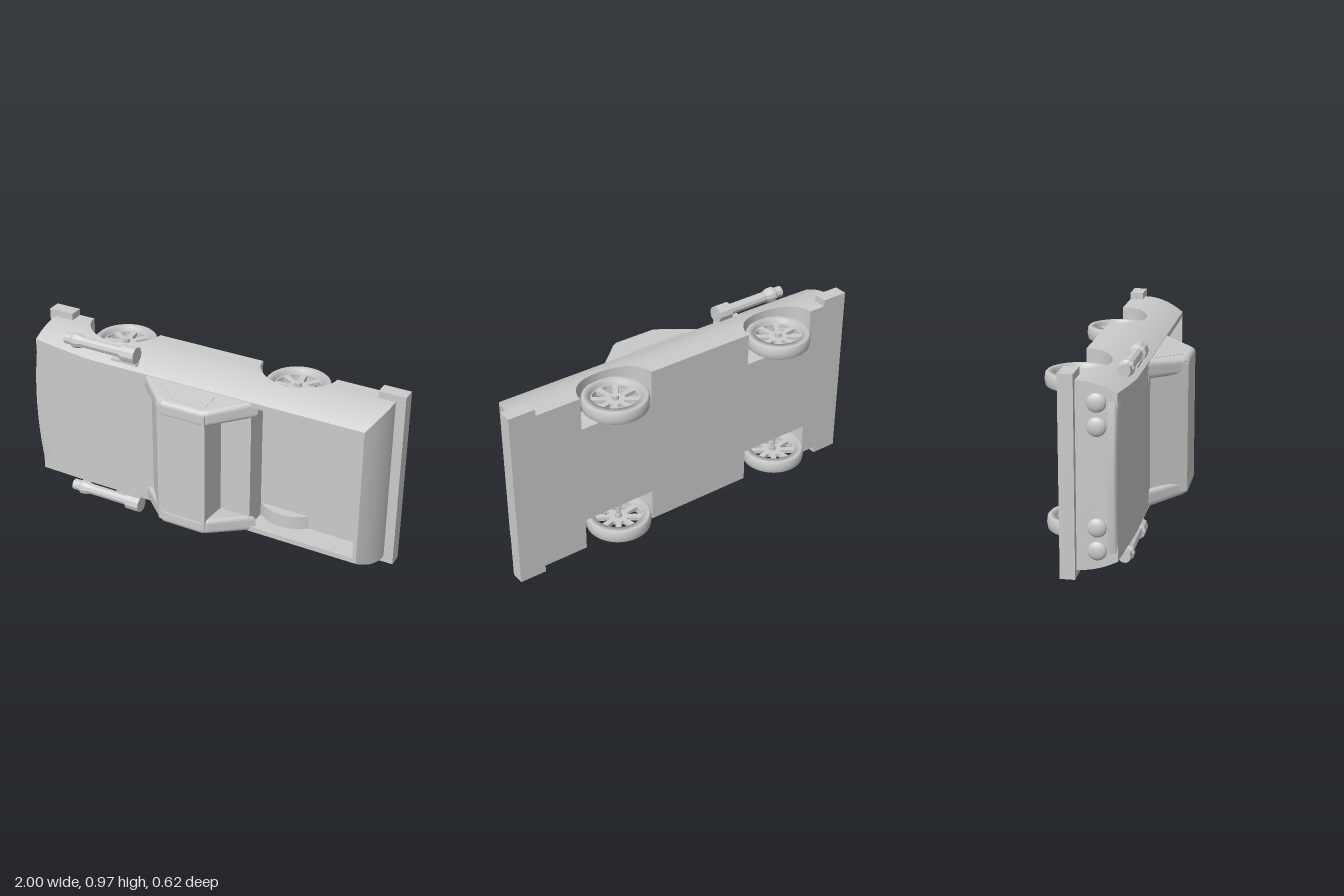
import * as THREE from 'three';

const MAT = new THREE.MeshStandardMaterial({ color: 0xcccccc, side: THREE.DoubleSide });
const FLAT = new THREE.MeshStandardMaterial({ color: 0xcccccc, side: THREE.DoubleSide, flatShading: true });

// The truck lies on its side: length on x (nose at -x), width on y, its roof towards +z.
const BASE = -0.155, SILL = -0.085, TOP = 0.135, WIDE = 0.4425, NOSE = -0.965;
const WHEELS = [-0.57, 0.42], ARCH_X = 0.2, ARCH_Z = 0.16, WELL = 0.27;

const rise = z => Math.max(0, (z - SILL) / (TOP - SILL));
const sideY = z => WIDE - 0.07 * rise(z) ** 2;
const tailX = z => 0.95 - 0.06 * rise(z) ** 2;
const topZ = x => TOP - 0.03 * Math.max(0, (-0.6 - x) / 0.365) ** 1.3;

// Grid surface: f(u, v) returns a point for u, v in 0..1
function surface(nu, nv, f) {
  const pos = [], idx = [];
  for (let i = 0; i <= nu; i++) for (let j = 0; j <= nv; j++) pos.push(...f(i / nu, j / nv, i));
  for (let i = 0; i < nu; i++) for (let j = 0; j < nv; j++) {
    const a = i * (nv + 1) + j, b = a + nv + 1;
    idx.push(a, b, a + 1, b, b + 1, a + 1);
  }
  const g = new THREE.BufferGeometry();
  g.setAttribute('position', new THREE.Float32BufferAttribute(pos, 3));
  g.setIndex(idx);
  g.computeVertexNormals();
  return g;
}

const poly = pts => new THREE.Shape(pts.map(p => new THREE.Vector2(...p)));
const rect = (x0, x1, y) => poly([[x0, -y], [x1, -y], [x1, y], [x0, y]]);

// Extrudes an x-z outline across the width, centred on y
function across(shape, width, y, bevel = 0) {
  const g = new THREE.ExtrudeGeometry(shape, {
    depth: width - 2 * bevel, bevelEnabled: bevel > 0, bevelSize: bevel, bevelOffset: -bevel,
    bevelThickness: bevel, bevelSegments: 5, curveSegments: 32,
  });
  return g.rotateX(Math.PI / 2).translate(0, y + width / 2 - bevel, 0);
}

function add(parent, name, geometry, material = MAT) {
  const m = new THREE.Mesh(geometry, material);
  m.name = name;
  parent.add(m);
  return m;
}

const box = (x0, x1, y0, y1, z0, z1) => new THREE.BoxGeometry(x1 - x0, y1 - y0, z1 - z0)
  .translate((x0 + x1) / 2, (y0 + y1) / 2, (z0 + z1) / 2);

// Wheel on the y axis: lathed tyre, spoked disc and hub
function makeWheel() {
  const wheel = new THREE.Group();
  const tyre = [[0.122, -0.035], [0.155, -0.035], [0.162, -0.028], [0.166, 0], [0.162, 0.028],
    [0.155, 0.035], [0.122, 0.035], [0.122, -0.035]].map(p => new THREE.Vector2(...p));
  add(wheel, 'tyre', new THREE.LatheGeometry(tyre, 40));
  const disc = new THREE.Shape().absarc(0, 0, 0.124, 0, Math.PI * 2);
  for (let i = 0; i < 8; i++) {
    const a = i * Math.PI / 4 + 0.2;
    const at = (r, d) => [r * Math.cos(a + d), r * Math.sin(a + d)];
    disc.holes.push(poly([at(0.05, -0.14), at(0.115, -0.25), at(0.118, 0), at(0.115, 0.25), at(0.05, 0.14)]));
  }
  add(wheel, 'spokes', across(disc, 0.02, 0));
  add(wheel, 'hub', new THREE.CylinderGeometry(0.018, 0.018, 0.06, 12));
  return wheel;
}

// Lower body: sides with wheel arches, nose, tail, underside, wells
function makeBody(truck) {
  const stations = [[NOSE, BASE]];
  for (const cx of WHEELS) for (let i = 0; i <= 20; i++) {
    const a = Math.PI * i / 20;
    stations.push([cx - ARCH_X * Math.cos(a), BASE + ARCH_Z * Math.sin(a)]);
  }
  stations.push([0.86, BASE], [0.95, BASE]);
  const last = stations.length - 1;
  for (const s of [-1, 1]) {
    add(truck, 'bodySide', surface(last, 14, (u, v, i) => {
      const [x, low] = stations[i];
      const z = low + (topZ(x) - low) * v;
      return [i === last ? tailX(z) : x, s * sideY(z), z];
    }));
    for (const cx of WHEELS) {
      add(truck, 'wheelWell', surface(20, 1, (u, v) => {
        const a = Math.PI * u, z = BASE + ARCH_Z * Math.sin(a);
        return [cx - ARCH_X * Math.cos(a), s * (v ? WELL : sideY(z)), z];
      }));
      const wall = new THREE.Shape().absellipse(cx, BASE, ARCH_X, ARCH_Z, 0, Math.PI);
      add(truck, 'wellInnerWall', across(wall, 0.004, s * (WELL - 0.002)));
    }
  }
  const cap = (name, z1, fx) => add(truck, name, surface(14, 1, (u, v) => {
    const z = BASE + (z1 - BASE) * u;
    return [fx(z), (v * 2 - 1) * sideY(z), z];
  }));
  cap('nosePanel', topZ(NOSE), () => NOSE);
  cap('tailPanel', TOP, tailX);

  const edge = [[NOSE, WIDE]];
  for (const cx of WHEELS) {
    edge.push([cx - ARCH_X, WIDE], [cx - ARCH_X, WELL], [cx + ARCH_X, WELL], [cx + ARCH_X, WIDE]);
  }
  edge.push([0.95, WIDE]);
  const under = poly([...edge, ...edge.map(([x, y]) => [x, -y]).reverse()]);
  add(truck, 'underside', new THREE.ShapeGeometry(under).translate(0, 0, BASE));

  add(truck, 'fenderTop', surface(16, 1, (u, v) => {
    const x = NOSE + (-0.3 - NOSE) * u, z = topZ(x);
    return [x, (v * 2 - 1) * sideY(z), z - 0.001];
  }));
}

// Load bed: rim with a deep opening, floor and wheel housings
function makeBed(truck) {
  const rim = rect(-0.3, 0.89, sideY(TOP));
  rim.holes.push(rect(0.305, 0.87, 0.345));
  add(truck, 'bedRim', new THREE.ExtrudeGeometry(rim, { depth: 0.127, bevelEnabled: false }).translate(0, 0, 0.008));
  add(truck, 'bedFloor', box(0.3, 0.88, -0.35, 0.35, 0.004, 0.009));
  const a = 0.82;
  const housing = new THREE.Shape().absarc(0.44, -0.14, 0.2, Math.PI / 2 - a, Math.PI / 2 + a);
  for (const s of [-1, 1]) add(truck, 'wheelHousing', across(housing, 0.075, s * 0.31));
}

// Hood: swept across the width with a bowed, drooping front lip
function makeHood(truck) {
  add(truck, 'hood', surface(20, 12, (u, v, i) => {
    const y = (u * 2 - 1) * 0.352, front = -0.997 + 0.028 * (u * 2 - 1) ** 2;
    const t = Math.min(1, v * 12 / 9), x = -0.32 + (front + 0.012 + 0.32) * t;
    const k = Math.round(v * 12) - 9;
    const lip = [[front, 0.09], [front + 0.004, 0.065], [NOSE, 0.06]];
    return k > 0 ? [lip[k - 1][0], y, lip[k - 1][1]] : [x, y, topZ(Math.max(x, NOSE)) + 0.003];
  }));
  for (const y of [-0.345, -0.235, 0.235, 0.345]) {
    add(truck, 'headlight', new THREE.SphereGeometry(0.045, 20, 12).scale(0.45, 1, 1).translate(NOSE, y, 0.01));
  }
}

// Cabin: roof block with sloped windshield, flanked by pillars and rear buttresses
function makeCabin(truck) {
  add(truck, 'roofAndGlass', across(poly([[-0.265, 0.12], [-0.125, 0.304], [0.14, 0.304], [0.14, 0.12]]), 0.66, 0));
  const side = poly([[-0.312, 0.115], [-0.135, 0.285], [-0.1, 0.306], [0.125, 0.306], [0.15, 0.29], [0.33, 0.115]]);
  const glass = poly([[-0.2, 0.15], [-0.05, 0.268], [0.12, 0.268], [0.12, 0.15]]);
  for (const s of [-1, 1]) {
    const g = across(side, 0.085, s * 0.327, 0.024);
    const p = g.attributes.position;
    // Lean the sides inward towards the roof
    for (let i = 0; i < p.count; i++) p.setY(i, p.getY(i) - s * 0.1 * (p.getZ(i) - 0.135));
    g.computeVertexNormals();
    add(truck, 'pillar', g);
    const w = add(truck, 'sideWindow', across(glass, 0.006, 0));
    w.position.set(0, s * 0.382, 0);
    w.geometry.translate(0, 0, -0.135);
    w.position.z = 0.135;
    w.rotation.x = s * 0.1;
    w.position.y = s * 0.368;
  }
}

export function createModel() {
  const truck = new THREE.Group();
  truck.name = 'pickupTruck';
  makeBody(truck);
  makeBed(truck);
  makeHood(truck);
  makeCabin(truck);

  // Bumpers
  add(truck, 'frontBumper', box(-1, -0.86, -0.4775, 0.4775, BASE - 0.001, SILL));
  add(truck, 'rearBumper', box(0.86, 1, -0.4775, 0.4775, BASE - 0.001, SILL));

  // Wheels and stub axles
  for (const s of [-1, 1]) for (const x of WHEELS) {
    const wheel = makeWheel();
    wheel.name = 'wheel';
    wheel.position.set(x, s * 0.352, -0.143);
    truck.add(wheel);
    add(truck, 'axle', new THREE.CylinderGeometry(0.012, 0.012, 0.09, 10).translate(x, s * 0.31, -0.143));
  }

  // Side tubes with stepped ends
  const tube = [[0, -0.775], [0.03, -0.775], [0.03, -0.735], [0.04, -0.725], [0.04, -0.705], [0.029, -0.67],
    [0.029, -0.44], [0.044, -0.435], [0.044, -0.355], [0, -0.355]].map(p => new THREE.Vector2(...p));
  for (const s of [-1, 1]) {
    add(truck, 'sideTube', new THREE.LatheGeometry(tube, 10).rotateZ(-Math.PI / 2).translate(0, s * 0.4435, 0.1), FLAT);
    add(truck, 'tubeBracket', box(-0.5, -0.35, s * 0.395 - 0.006, s * 0.395 + 0.006, 0.085, 0.115));
  }

  truck.position.y = 0.4875;
  const model = new THREE.Group();
  model.add(truck);
  return model;
}
